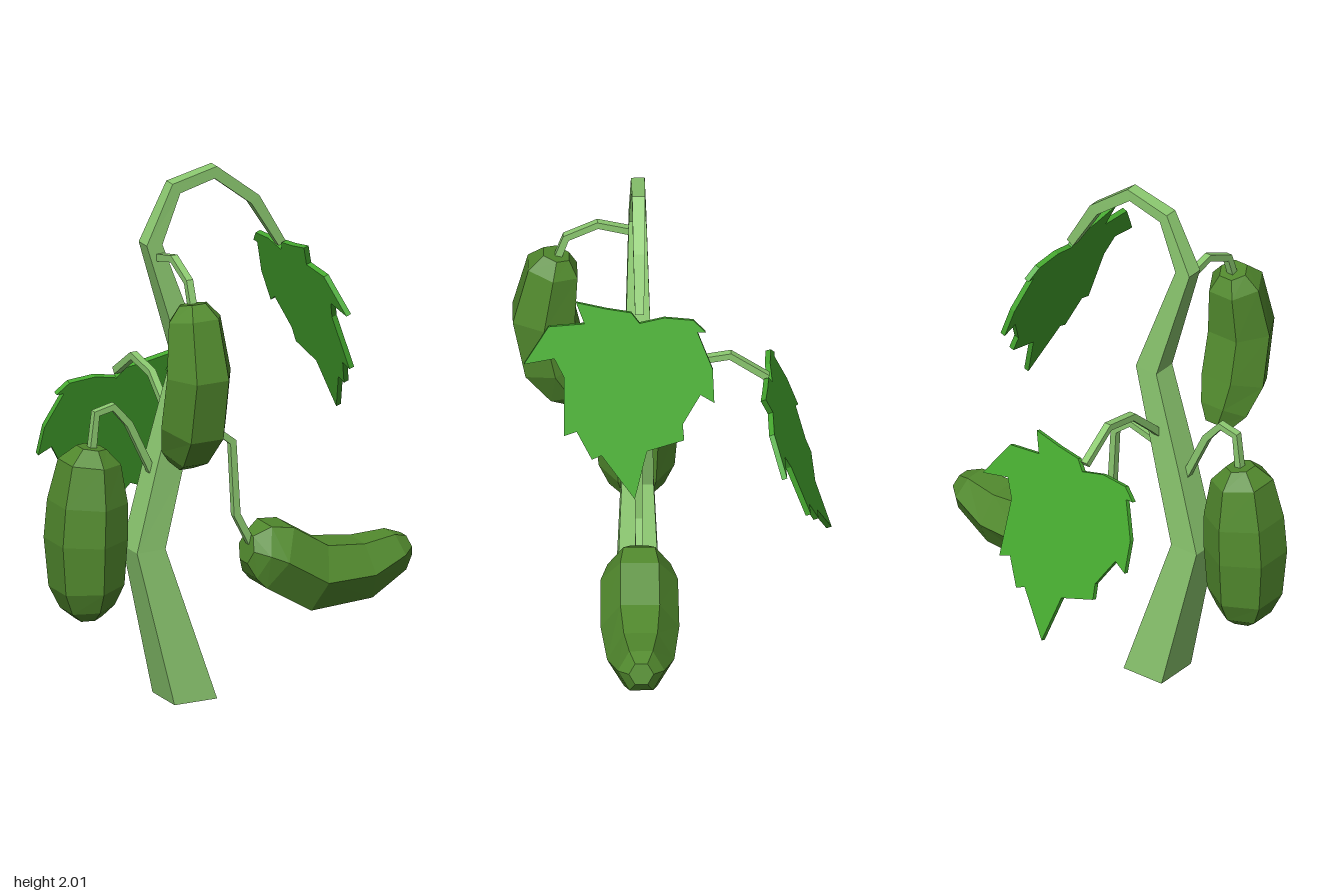
import * as THREE from 'three';

const V = (x, y, z) => new THREE.Vector3(x, y, z);
const Z0 = 0.125; // depth of the main stem

const material = (color) => new THREE.MeshStandardMaterial({ color, flatShading: true });

// Closed tube through rings [x, y, z, radius]; one corner direction follows `side`
function loft(rings, sides, side, phase = 0, startDir = null) {
  const pts = rings.map((r) => V(r[0], r[1], r[2]));
  const pos = [], idx = [];
  const n = pts.length;
  pts.forEach((p, i) => {
    const a = pts[Math.max(i - 1, 0)], b = pts[Math.min(i + 1, n - 1)];
    let t = b.clone().sub(a).normalize();
    if (i > 0 && i < n - 1) {
      t = p.clone().sub(a).normalize().add(b.clone().sub(p).normalize()).normalize();
    }
    if (i === 0 && startDir) t = startDir;
    const across = t.clone().cross(side).normalize();
    for (let j = 0; j < sides; j++) {
      const ang = phase + (j / sides) * Math.PI * 2;
      const v = p.clone()
        .addScaledVector(side, Math.cos(ang) * rings[i][3])
        .addScaledVector(across, Math.sin(ang) * rings[i][3]);
      pos.push(v.x, v.y, v.z);
    }
  });
  for (let i = 0; i < n - 1; i++) {
    for (let j = 0; j < sides; j++) {
      const k = (j + 1) % sides;
      const a = i * sides + j, b = i * sides + k;
      idx.push(a, b, b + sides, a, b + sides, a + sides);
    }
  }
  // End caps
  const last = (n - 1) * sides;
  for (let j = 1; j < sides - 1; j++) {
    idx.push(0, j + 1, j, last, last + j, last + j + 1);
  }
  const g = new THREE.BufferGeometry();
  g.setAttribute('position', new THREE.Float32BufferAttribute(pos, 3));
  g.setIndex(idx);
  const flat = g.toNonIndexed();
  flat.computeVertexNormals();
  return flat;
}

// Jagged leaf blade, stalk at the origin, tip pointing down
function leafGeometry() {
  const outline = [
    [0, -0.07], [-0.03, -0.03], [-0.12, -0.015], [-0.23, 0.01], [-0.2, -0.07], [-0.33, -0.08],
    [-0.42, -0.22], [-0.31, -0.2], [-0.275, -0.27], [-0.275, -0.49], [-0.23, -0.475],
    [-0.175, -0.58], [-0.14, -0.565], [-0.02, -0.73], [0.025, -0.55], [0.16, -0.51],
    [0.155, -0.45], [0.22, -0.34], [0.27, -0.37], [0.265, -0.245], [0.21, -0.105],
    [0.24, -0.105], [0.195, -0.06], [0.09, -0.05],
  ];
  const shape = new THREE.Shape(outline.map(([x, y]) => new THREE.Vector2(x, y)));
  const g = new THREE.ExtrudeGeometry(shape, { depth: 0.02, bevelEnabled: false });
  g.translate(0, 0, -0.01);
  g.rotateX(-0.332);
  return g;
}

export function createModel() {
  const root = new THREE.Group();
  const stemMat = material(0x8cc970);
  const fruitMat = material(0x528a2e);
  const leafMat = material(0x46aa2f);
  const X = V(1, 0, 0), Z = V(0, 0, 1);

  const add = (name, geometry, mat) => {
    const mesh = new THREE.Mesh(geometry, mat);
    mesh.name = name;
    root.add(mesh);
    return mesh;
  };

  // Square main stem, tapering and arching over at the top
  const stem = [
    [-0.19, 0, 0.087], [-0.357, 0.59, 0.058], [-0.28, 0.89, 0.054], [-0.175, 1.285, 0.047],
    [-0.33, 1.745, 0.032], [-0.237, 1.945, 0.025], [-0.075, 1.983, 0.023],
    [0.088, 1.855, 0.021], [0.2, 1.67, 0.016],
  ].map(([x, y, h]) => [x, y, Z0, h * Math.SQRT2]);
  add('mainStem', loft(stem, 4, Z, Math.PI / 4, V(0, 1, 0)), stemMat);

  // Thin square stalks
  const stalk = (name, points, side) =>
    add(name, loft(points.map((p) => [...p, 0.019]), 4, side, Math.PI / 4), stemMat);
  stalk('leftFruitStalk', [
    [-0.27, 0.9, Z0], [-0.19, 0.965, Z0], [-0.07, 0.998, Z0], [0.002, 0.94, Z0],
    [0.018, 0.66, Z0], [0.085, 0.53, Z0],
  ], Z);
  stalk('rightFruitStalk', [
    [-0.32, 0.86, Z0], [-0.42, 1.07, Z0], [-0.485, 1.145, Z0], [-0.555, 1.13, Z0], [-0.572, 0.98, Z0],
  ], Z);
  stalk('frontFruitStalk', [
    [-0.31, 1.69, Z0], [-0.31, 1.725, 0.27], [-0.31, 1.67, 0.385], [-0.31, 1.57, 0.42],
  ], X);
  stalk('backLeafStalk', [
    [-0.225, 1.01, 0.11], [-0.225, 1.07, 0.05], [-0.225, 1.18, -0.07],
    [-0.225, 1.205, -0.21], [-0.225, 1.11, -0.345],
  ], X);

  // Six-sided fruits: rings along a gently bent core
  add('leftFruit', loft([
    [0.062, 0.525, Z0, 0.06], [0.105, 0.515, Z0, 0.115], [0.165, 0.49, Z0, 0.14],
    [0.325, 0.39, Z0, 0.143], [0.53, 0.385, Z0, 0.122], [0.67, 0.43, Z0, 0.085],
    [0.715, 0.445, Z0, 0.045],
  ], 6, Z), fruitMat);
  add('rightFruit', loft([
    [-0.572, 1.003, Z0, 0.055], [-0.58, 0.95, Z0, 0.115], [-0.588, 0.8, Z0, 0.147],
    [-0.595, 0.66, Z0, 0.153], [-0.592, 0.48, Z0, 0.138], [-0.588, 0.4, Z0, 0.1],
    [-0.583, 0.357, Z0, 0.05],
  ], 6, Z), fruitMat);
  add('frontFruit', loft([
    [-0.31, 1.595, 0.42, 0.055], [-0.31, 1.54, 0.433, 0.105], [-0.31, 1.34, 0.466, 0.13],
    [-0.31, 1.14, 0.425, 0.132], [-0.31, 1.03, 0.367, 0.1], [-0.31, 0.978, 0.33, 0.055],
  ], 6, X), fruitMat);

  // Hanging leaves, one to the side and one behind
  const blade = leafGeometry();
  const sideLeaf = add('sideLeaf', blade, leafMat);
  sideLeaf.position.set(0.19, 1.71, Z0);
  sideLeaf.rotation.y = Math.PI / 2;
  const backLeaf = add('backLeaf', blade, leafMat);
  backLeaf.position.set(-0.225, 1.15, -0.33);
  backLeaf.rotation.y = Math.PI;

  return root;
}
